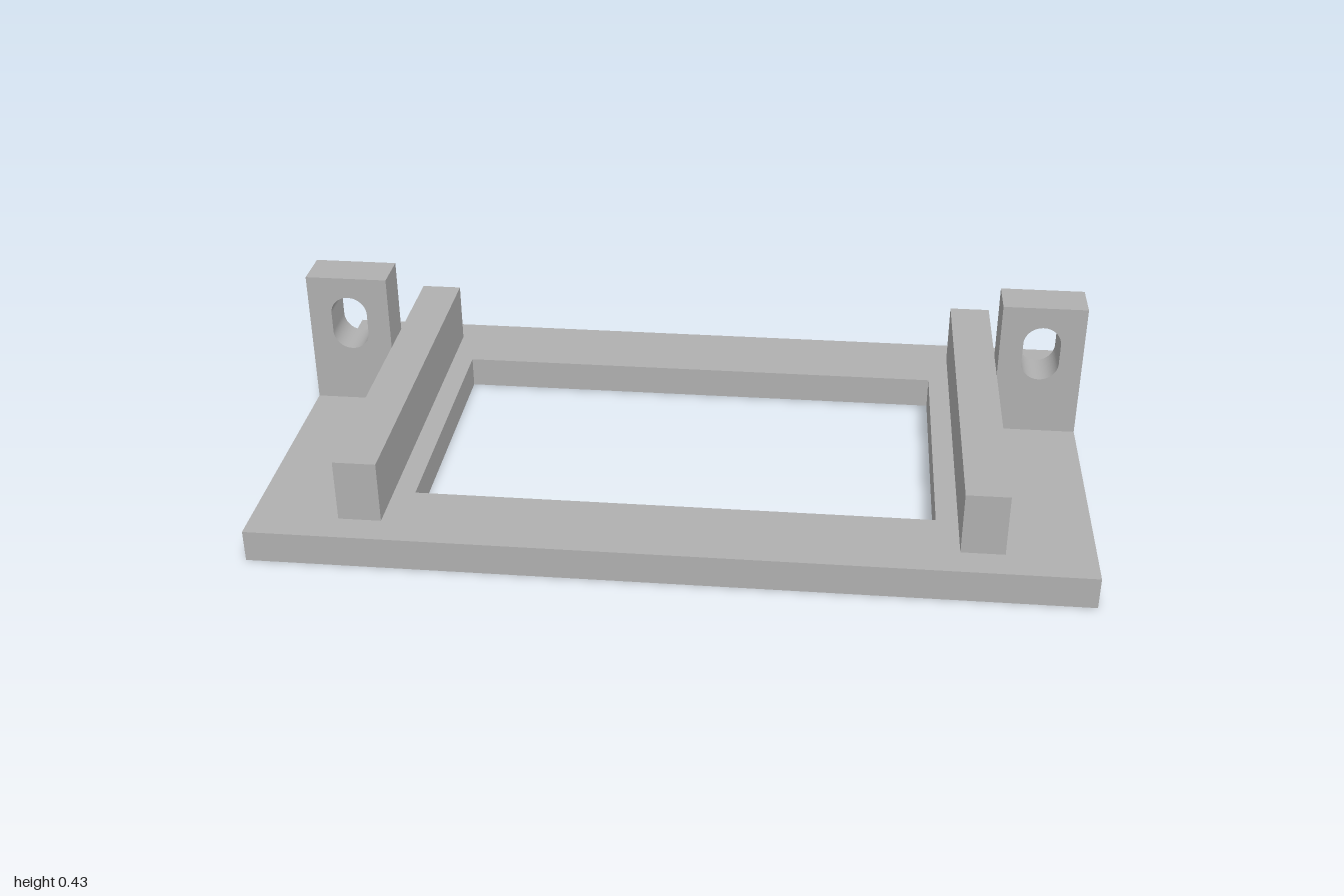
import * as THREE from 'three';

const grey = new THREE.MeshStandardMaterial({ color: 0xb0b0b0 });
grey.name = 'grey';

const BASE_H = 0.08;

// Closed rectangle centred on (cx, cy)
function rect(PathType, w, h, cx = 0, cy = 0) {
  return new PathType([
    [-1, -1], [1, -1], [1, 1], [-1, 1],
  ].map(([sx, sy]) => new THREE.Vector2(cx + sx * w / 2, cy + sy * h / 2)));
}

function named(geometry, name) {
  const mesh = new THREE.Mesh(geometry, grey);
  mesh.name = name;
  return mesh;
}

// Flat frame with a rectangular opening
function makeBase() {
  const shape = rect(THREE.Shape, 2, 1.106);
  shape.holes.push(rect(THREE.Path, 1.264, 0.69));
  const geo = new THREE.ExtrudeGeometry(shape, { depth: BASE_H, bevelEnabled: false });
  geo.rotateX(-Math.PI / 2);
  return named(geo, 'baseFrame');
}

// Upright tab with a rounded vertical slot, centred on x = 0
function makeTab() {
  const top = 0.432, r = 0.047, low = 0.277, high = 0.33;
  const shape = rect(THREE.Shape, 0.211, top - BASE_H, 0, (top + BASE_H) / 2);
  const slot = new THREE.Path();
  slot.absarc(0, high, r, 0, Math.PI, false);
  slot.absarc(0, low, r, Math.PI, Math.PI * 2, false);
  slot.closePath();
  shape.holes.push(slot);
  const geo = new THREE.ExtrudeGeometry(shape, { depth: 0.106, bevelEnabled: false, curveSegments: 24 });
  geo.translate(0, 0, -0.21);
  return named(geo, 'slottedTab');
}

export function createModel() {
  const model = new THREE.Group();
  model.name = 'mountingFrame';
  model.add(makeBase());

  // Rail and tab at each end
  for (const [side, s] of [['left', 1], ['right', -1]]) {
    const end = new THREE.Group();
    end.name = side + 'End';

    const rail = named(new THREE.BoxGeometry(0.104, 0.157, 0.95), side + 'Rail');
    rail.position.set(s * 0.737, BASE_H + 0.157 / 2, 0);

    const tab = makeTab();
    tab.name = side + 'SlottedTab';
    tab.position.x = s * 0.8945;

    end.add(rail, tab);
    model.add(end);
  }
  return model;
}
